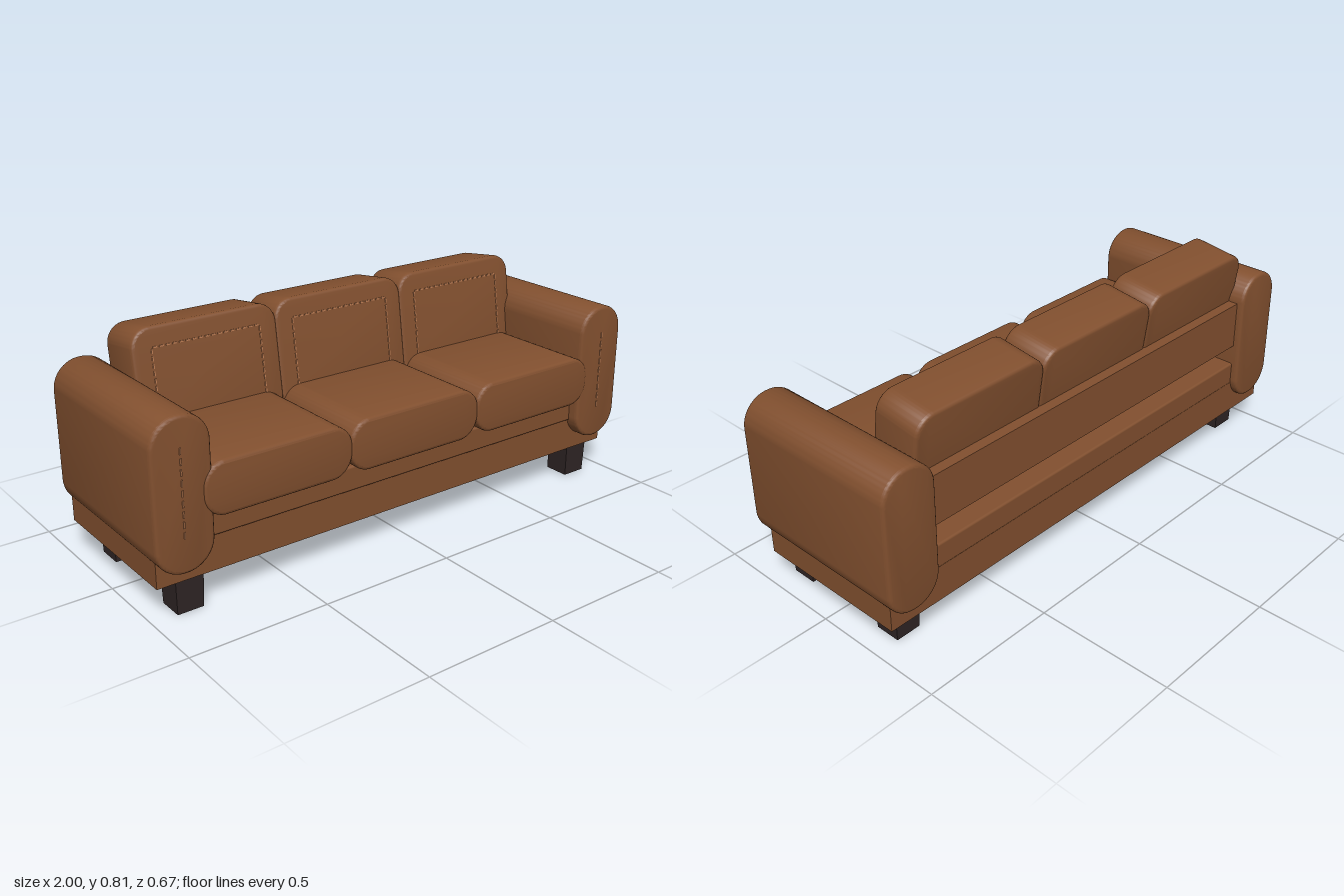
import * as THREE from 'three';
import { mergeGeometries, toCreasedNormals } from 'three/addons/utils/BufferGeometryUtils.js';
import { RoundedBoxGeometry } from 'three/addons/geometries/RoundedBoxGeometry.js';

// Centred block: rounded rectangle in XY, extruded along Z with a small soft bevel.
function paddedBlock(w, h, d, r, bevel) {
  const x = w / 2 - bevel, y = h / 2 - bevel, c = r - bevel;
  const s = new THREE.Shape();
  s.moveTo(-x + c, -y);
  s.lineTo(x - c, -y);
  s.absarc(x - c, -y + c, c, -Math.PI / 2, 0);
  s.lineTo(x, y - c);
  s.absarc(x - c, y - c, c, 0, Math.PI / 2);
  s.lineTo(-x + c, y);
  s.absarc(-x + c, y - c, c, Math.PI / 2, Math.PI);
  s.lineTo(-x, -y + c);
  s.absarc(-x + c, -y + c, c, Math.PI, Math.PI * 1.5);
  const geo = new THREE.ExtrudeGeometry(s, {
    depth: d - 2 * bevel, bevelEnabled: true, bevelSize: bevel,
    bevelThickness: bevel, bevelSegments: 3, curveSegments: 10,
  });
  geo.translate(0, 0, -d / 2 + bevel);
  return toCreasedNormals(geo, 0.7);
}

// Row of small thread dashes from (x0, y0) to (x1, y1) on a front face at z.
function stitchRow(x0, y0, x1, y1, z, pitch) {
  const length = Math.hypot(x1 - x0, y1 - y0);
  const n = Math.round(length / pitch);
  const dashes = [];
  for (let i = 0; i < n; i++) {
    const t = (i + 0.5) / n;
    const dash = new THREE.BoxGeometry(pitch * 0.65, 0.005, 0.006);
    dash.rotateZ(Math.atan2(y1 - y0, x1 - x0));
    dash.translate(x0 + (x1 - x0) * t, y0 + (y1 - y0) * t, z);
    dashes.push(dash);
  }
  return mergeGeometries(dashes);
}

export function createModel() {
  const sofa = new THREE.Group();
  sofa.name = 'sofa';

  const material = (name, color) => {
    const m = new THREE.MeshStandardMaterial({ color });
    m.name = name;
    return m;
  };
  const leather = material('brown leather', 0x82502f);
  const thread = material('tan thread', 0xb87a52);
  const wood = material('dark wood', 0x2f2525);

  const add = (name, geo, mat, x, y, z, parent = sofa) => {
    const mesh = new THREE.Mesh(geo, mat);
    mesh.name = name;
    mesh.position.set(x, y, z);
    parent.add(mesh);
    return mesh;
  };

  // Plinth, seat deck and rear support panel
  add('base', new THREE.BoxGeometry(1.96, 0.13, 0.59), leather, 0, 0.183, -0.015);
  add('seatDeck', new RoundedBoxGeometry(1.66, 0.09, 0.6, 2, 0.008), leather, 0, 0.288, -0.01);
  add('backPanel', new THREE.BoxGeometry(1.62, 0.18, 0.07), leather, 0, 0.5, -0.275);

  // Three seat cushions and three reclined back cushions
  const seatGeo = paddedBlock(0.558, 0.185, 0.425, 0.08, 0.012);
  const backGeo = paddedBlock(0.55, 0.4, 0.185, 0.07, 0.012);
  const backStitches = mergeGeometries([
    stitchRow(-0.205, 0.13, 0.205, 0.13, 0.0925, 0.024),
    stitchRow(-0.205, -0.14, -0.205, 0.13, 0.0925, 0.024),
    stitchRow(0.205, -0.14, 0.205, 0.13, 0.0925, 0.024),
  ]);
  for (const i of [-1, 0, 1]) {
    add('seatCushion', seatGeo, leather, i * 0.55, 0.418, 0.1225);

    const back = new THREE.Group();
    back.name = 'backCushion';
    back.position.set(i * 0.545, 0.604, -0.179);
    back.rotation.x = -0.14;
    add('cushionPad', backGeo, leather, 0, 0, 0, back);
    add('cushionStitching', backStitches, thread, 0, 0, 0, back);
    sofa.add(back);
  }

  // Rounded arms with a stitched front seam, and tapered square legs
  const armGeo = paddedBlock(0.206, 0.52, 0.665, 0.1, 0.012);
  const armStitches = stitchRow(0, -0.145, 0, 0.165, 0.3325, 0.034);
  const legGeo = new THREE.CylinderGeometry(0.05 * Math.SQRT2, 0.047 * Math.SQRT2, 0.12, 4)
    .toNonIndexed();
  legGeo.rotateY(Math.PI / 4);
  legGeo.computeVertexNormals();
  for (const side of [-1, 1]) {
    add('arm', armGeo, leather, side * 0.897, 0.428, -0.003);
    add('armStitching', armStitches, thread, side * 0.9, 0.428, -0.003);
    add('frontLeg', legGeo, wood, side * 0.863, 0.06, 0.225);
    add('rearLeg', legGeo, wood, side * 0.863, 0.06, -0.2);
  }
  return sofa;
}
